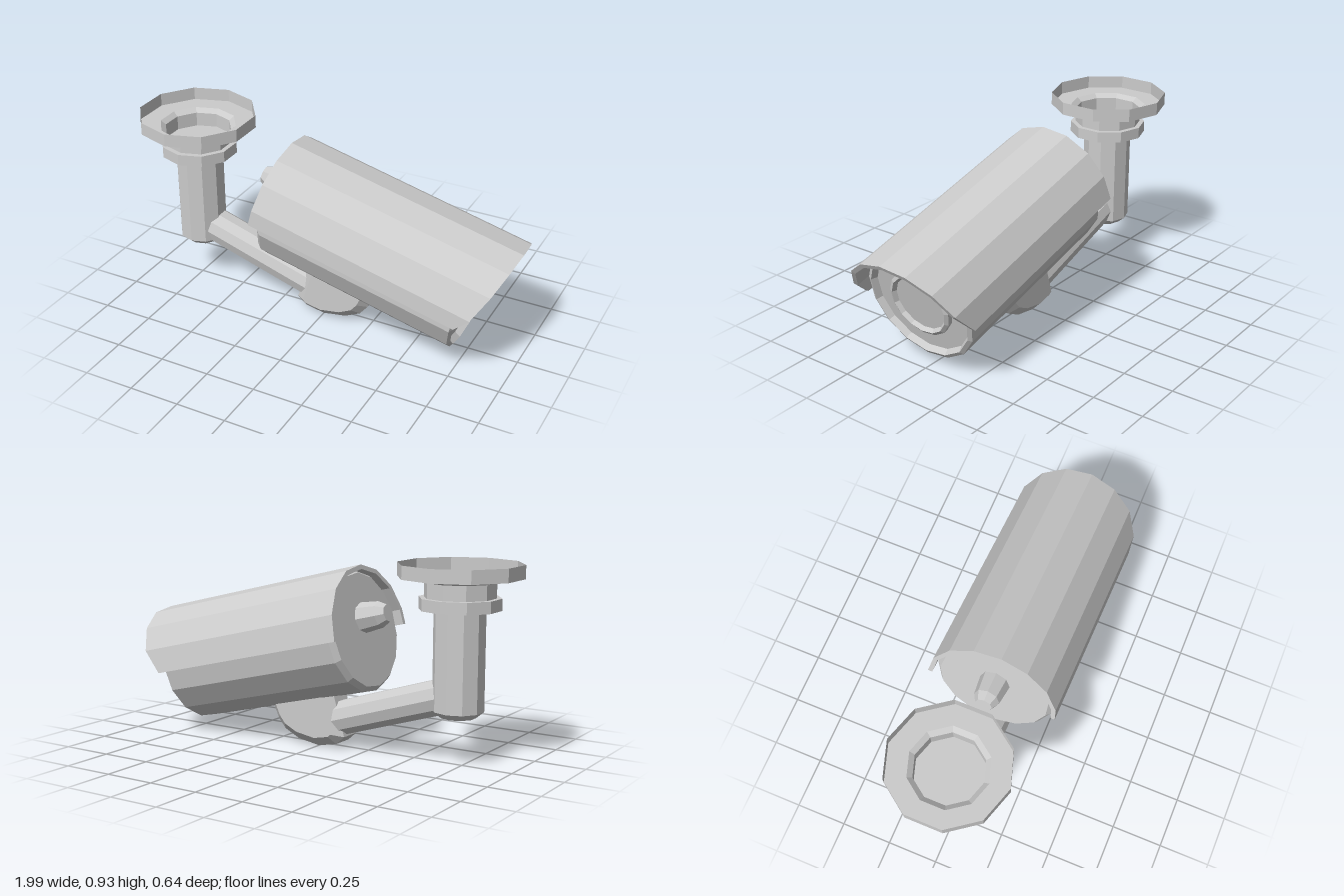
import * as THREE from 'three';

const material = new THREE.MeshStandardMaterial({ color: 0xcccccc, flatShading: true, side: THREE.DoubleSide });
const rad = THREE.MathUtils.degToRad;

function part(name, geometry, parent) {
  const geo = geometry.index ? geometry.toNonIndexed() : geometry;
  geo.computeVertexNormals();
  const mesh = new THREE.Mesh(geo, material);
  mesh.name = name;
  parent.add(mesh);
  return mesh;
}

// Faceted turned part; points are [radius, height]
function turned(points, sides, start = 0) {
  return new THREE.LatheGeometry(points.map(([r, h]) => new THREE.Vector2(r, h)), sides, start);
}

// Turned part lying along +x
function turnedX(points, sides, start = 0) {
  return turned(points, sides, start).rotateZ(-Math.PI / 2);
}

// Half-round shell: a box bent around the x axis, with a swept front edge
function hoodGeometry() {
  const geo = new THREE.BoxGeometry(1, 1, 1, 1, 1, 8);
  const p = geo.attributes.position;
  for (let i = 0; i < p.count; i++) {
    const angle = rad(-92 + (p.getZ(i) + 0.5) * 192);
    const r = p.getY(i) > 0 ? 0.325 : 0.303;
    const up = Math.max(r * Math.cos(angle), 0);
    const front = up < 0.1 ? 0.01 + 0.7 * up : 0.08 + 0.27 * (up - 0.1);
    p.setXYZ(i, p.getX(i) > 0 ? front : -1.07, up - 0.017, r * Math.sin(angle));
  }
  return geo;
}

export function createModel() {
  const model = new THREE.Group();
  model.name = 'securityCamera';

  // Ceiling mount: open cup flange, neck, collar and post
  const mount = new THREE.Group();
  mount.name = 'ceilingMount';
  mount.position.x = -0.725;
  model.add(mount);
  part('flange', turned([[0.165, 0.775], [0.165, 0.845], [0.19, 0.865], [0.29, 0.865], [0.29, 0.928]], 10), mount);
  part('collar', turned([[0, 0.72], [0.19, 0.72], [0.19, 0.775], [0, 0.775]], 10), mount);
  part('post', turned([[0, 0.225], [0.085, 0.225], [0.12, 0.255], [0.12, 0.74]], 10), mount);

  // Sloping arm from the post to the foot
  const arm = part('arm', turnedX([[0, 0], [0.086, 0], [0.086, 0.7], [0, 0.7]], 10), model);
  arm.position.set(-0.72, 0.335, 0);
  arm.rotation.z = rad(-17.3);

  // Rounded foot under the housing
  const outline = [[-0.07, 0.31], [-0.145, 0.06], [-0.1, 0.02], [0, 0], [0.12, 0.02],
    [0.2, 0.06], [0.24, 0.11], [0.285, 0.21], [0.24, 0.31]];
  const foot = new THREE.ExtrudeGeometry(new THREE.Shape(outline.map(([x, y]) => new THREE.Vector2(x, y))), {
    depth: 0.11, bevelThickness: 0.045, bevelSize: 0.045, bevelOffset: -0.045, bevelSegments: 1,
  });
  part('foot', foot.translate(0, 0, -0.055), model);

  // Camera head, tilted down; its origin is the centre of the front face
  const head = new THREE.Group();
  head.name = 'cameraHead';
  head.position.set(0.78, 0.336, 0);
  head.rotation.z = rad(-13.8);
  model.add(head);
  part('housing', turnedX([[0, -1.04], [0.275, -1.04], [0.296, -1.015], [0.296, -0.01],
    [0.276, 0], [0.262, -0.03], [0, -0.03]], 15, rad(85)), head);
  part('lens', turnedX([[0.167, -0.03], [0.167, -0.005], [0.15, 0.005], [0.138, -0.015], [0, -0.015]], 15, rad(85)), head);
  part('hood', hoodGeometry(), head);

  // Cable gland on the back
  const gland = part('cableGland', turnedX([[0, -1.18], [0.042, -1.18], [0.063, -1.14], [0.075, -1.03]], 8), head);
  gland.position.y = 0.058;

  return model;
}
